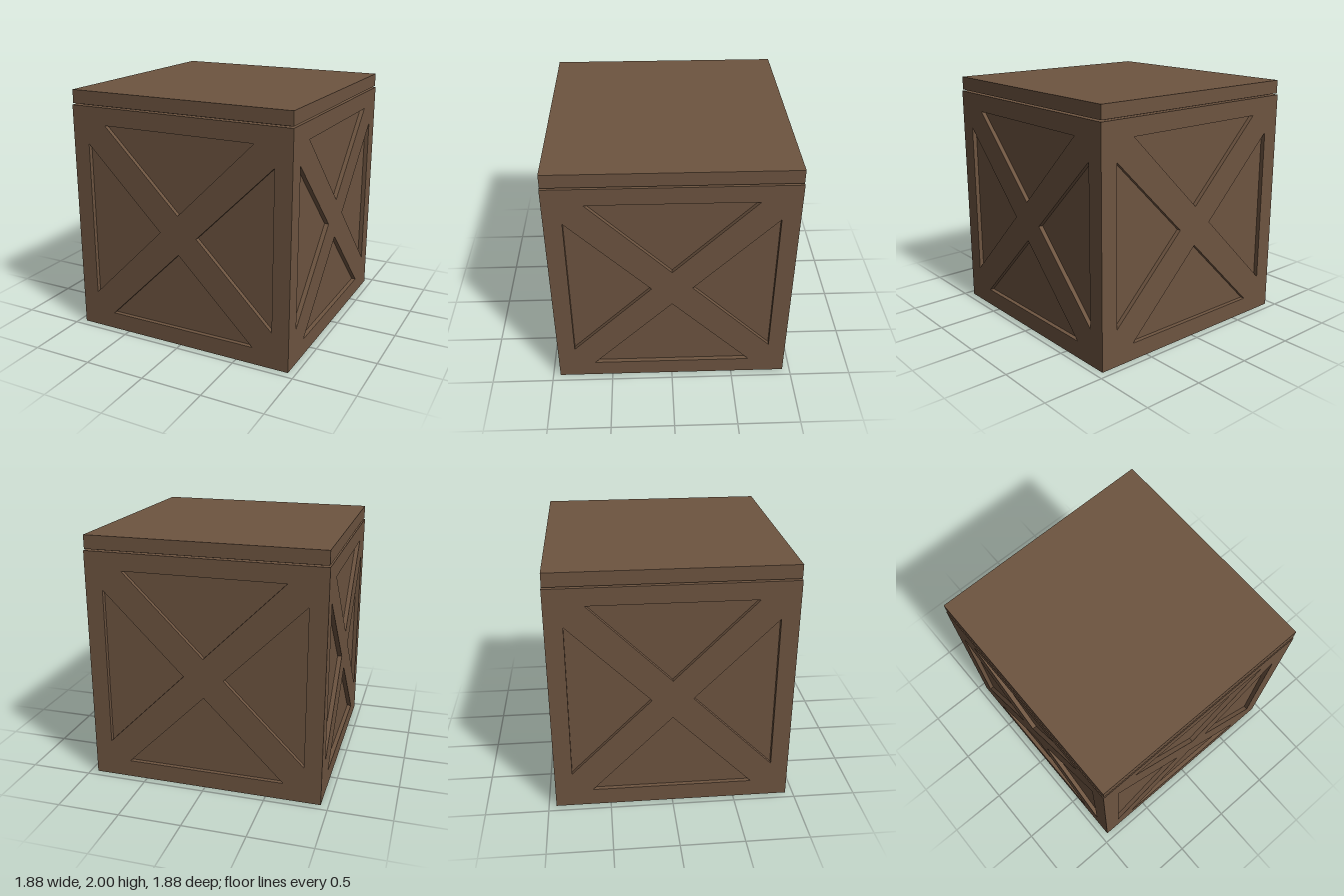
import * as THREE from 'three';

const SIZE = 1.88;    // crate body edge length
const DEPTH = 0.035;  // how far the panels sit behind the frame
const CORE = SIZE - 2 * DEPTH;

export function createModel() {
  const model = new THREE.Group();
  model.name = 'crate';
  const wood = new THREE.MeshStandardMaterial({ color: 0x6d5440 });
  wood.name = 'brown wood';

  const add = (name, geometry, y) => {
    const mesh = new THREE.Mesh(geometry, wood);
    mesh.name = name;
    mesh.position.y = y;
    model.add(mesh);
    return mesh;
  };

  // Inner box whose sides form the recessed panels
  add('innerPanels', new THREE.BoxGeometry(CORE, SIZE, CORE), SIZE / 2);

  // Cross-braced frame: a rectangle with four triangular openings
  const frameGeometry = (width) => {
    const w = width / 2, h = SIZE / 2;
    const shape = new THREE.Shape([[-w, -h], [w, -h], [w, h], [-w, h]].map(([x, y]) => new THREE.Vector2(x, y)));
    for (let i = 0; i < 4; i++) {
      const corners = [[-0.64, 0.8], [0.64, 0.8], [0, 0.16]].map(([x, y]) =>
        new THREE.Vector2(x, y).rotateAround(new THREE.Vector2(), i * Math.PI / 2));
      shape.holes.push(new THREE.Path(corners));
    }
    return new THREE.ExtrudeGeometry(shape, { depth: DEPTH, bevelEnabled: false });
  };

  // Front and back frames cover the corners, side frames fit between them
  ['frontFrame', 'leftFrame', 'backFrame', 'rightFrame'].forEach((name, i) => {
    const angle = i * Math.PI / 2;
    const frame = add(name, frameGeometry(i % 2 ? CORE : SIZE), SIZE / 2);
    frame.rotation.y = angle;
    frame.position.x = Math.sin(angle) * CORE / 2;
    frame.position.z = Math.cos(angle) * CORE / 2;
  });

  // Lid resting on a narrow inset neck
  add('lidNeck', new THREE.BoxGeometry(1.78, 0.03, 1.78), 1.885);
  add('lid', new THREE.BoxGeometry(1.87, 0.108, 1.87), 1.946);

  return model;
}
